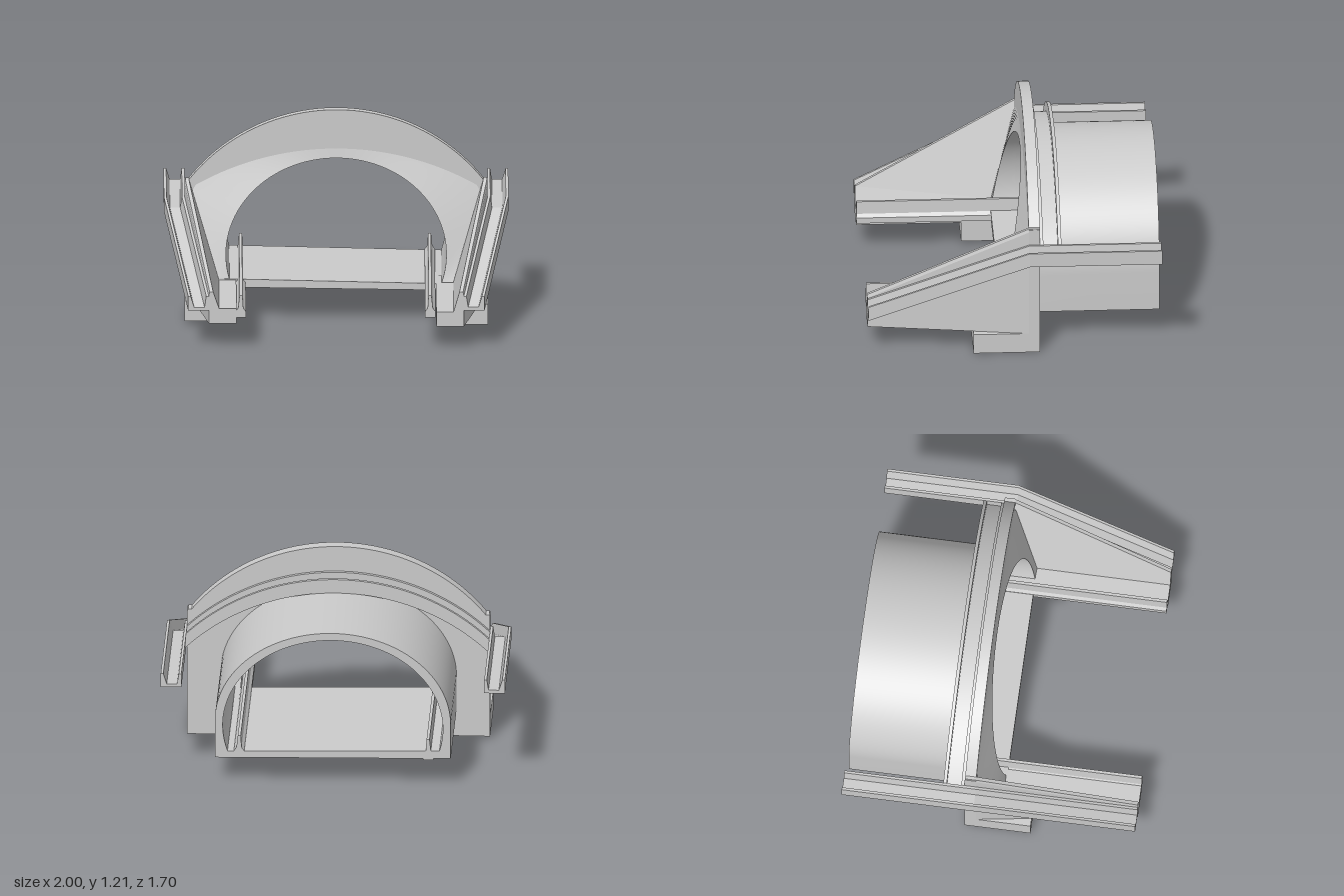
import * as THREE from 'three';
import { toCreasedNormals } from 'three/addons/utils/BufferGeometryUtils.js';

const material = new THREE.MeshStandardMaterial({ color: 0xcccccc });
const openMaterial = new THREE.MeshStandardMaterial({ color: 0xcccccc, side: THREE.DoubleSide });
const N = 64;
const CREASE = 0.5;

// Solid through matching cross-sections, counter-clockwise from the front, ordered front to back
function loft(sections) {
  const pos = [];
  const tri = (...pts) => pts.forEach((p) => pos.push(...p));
  const n = sections[0].length;
  for (let k = 0; k < sections.length - 1; k++) {
    const f = sections[k], b = sections[k + 1];
    for (let i = 0; i < n; i++) {
      const j = (i + 1) % n;
      tri(f[i], b[i], f[j]);
      tri(f[j], b[i], b[j]);
    }
  }
  const cap = (s, flip) => {
    const flat = s.map((p) => new THREE.Vector2(p[0], p[1]));
    for (const [a, b, c] of THREE.ShapeUtils.triangulateShape(flat, [])) {
      if (flip) tri(s[a], s[c], s[b]);
      else tri(s[a], s[b], s[c]);
    }
  };
  cap(sections[0], false);
  cap(sections[sections.length - 1], true);
  const geo = new THREE.BufferGeometry();
  geo.setAttribute('position', new THREE.Float32BufferAttribute(pos, 3));
  geo.computeVertexNormals();
  return geo;
}

// Section placed at z, shifted, mirrored to side s
function section(pts, z, s = 1, dx = 0, dy = 0) {
  const out = pts.map(([x, y]) => [s * (x + dx), y + dy, z]);
  return s < 0 ? out.reverse() : out;
}

function extrude(pts, z0, z1) {
  const shape = new THREE.Shape(pts.map(([x, y]) => new THREE.Vector2(x, y)));
  const geo = new THREE.ExtrudeGeometry(shape, { depth: z1 - z0, bevelEnabled: false });
  geo.translate(0, 0, z0);
  return toCreasedNormals(geo, CREASE);
}

// Height of a circular arc with its crown at (0, top) passing through (w, end)
function arcY(x, top, w, end) {
  const sag = top - end;
  const r = (w * w + sag * sag) / (2 * sag);
  return top - r + Math.sqrt(r * r - x * x);
}

const samples = (fn) => Array.from({ length: N + 1 }, (_, i) => fn(i / N));

// Opening curve, from right foot over the crown to the other foot
const DELTA = 0.295;
const angleAt = (u) => -DELTA + u * (Math.PI + 2 * DELTA);
const opening = (u) => [0.64 * Math.cos(angleAt(u)), 0.37 + 0.55 * Math.sin(angleAt(u))];

// Outer rim of the splayed mouth: straight along the wings, arched above
function mouthRim(u) {
  const a = angleAt(u), s = a <= Math.PI / 2 ? 1 : -1;
  const b = s > 0 ? a : Math.PI - a;
  const a0 = 0.55;
  if (b < a0) {
    const t = (b + DELTA) / (a0 + DELTA);
    return [s * (0.68 + 0.16 * t), 0.21 + 0.535 * t, 0.07 - 0.15 * t];
  }
  const x = 0.84 * (Math.PI / 2 - b) / (Math.PI / 2 - a0);
  return [s * x, arcY(x, 0.975, 0.84, 0.745), -0.08];
}

// Splayed face and the lining running back to the portal wall
function mouthGeometry() {
  const rows = [
    samples(mouthRim),
    samples((u) => { const [x, y] = opening(u); return [x, y, -0.08 + (0.965 - y) * 0.195]; }),
    samples((u) => [...opening(u), -0.145]),
  ];
  const index = [];
  for (let r = 0; r < 2; r++) {
    for (let i = 0; i < N; i++) {
      const a = r * (N + 1) + i, b = a + N + 1;
      index.push(a, a + 1, b, b, a + 1, b + 1);
    }
  }
  const geo = new THREE.BufferGeometry();
  geo.setAttribute('position', new THREE.Float32BufferAttribute(rows.flat(2), 3));
  geo.setIndex(index);
  return toCreasedNormals(geo, CREASE);
}

export function createModel() {
  const group = new THREE.Group();
  const add = (name, geo, mat = material) => {
    const mesh = new THREE.Mesh(geo, mat);
    mesh.name = name;
    group.add(mesh);
  };
  const inner = samples(opening);

  // Tunnel tube
  const vault = samples((u) => [-0.685 * Math.cos(Math.PI * u), 0.4 + 0.565 * Math.sin(Math.PI * u)]);
  add('tunnelTube', extrude(
    [[-0.685, 0.185], ...vault, [0.685, 0.165], [0.612, 0.166], ...inner, [-0.612, 0.184]], -0.85, -0.14));

  // Portal wall with arched top
  const crown = samples((u) => {
    const x = -0.855 + 1.71 * u;
    return [x, arcY(x, 1.205, 0.855, 0.79)];
  });
  add('portalWall', extrude(
    [[-0.88, 0.14], [-0.88, 0.785], ...crown, [0.88, 0.785], [0.88, 0.12], [0.612, 0.12], ...inner, [-0.612, 0.14]],
    -0.145, -0.08));
  add('splayedMouth', mouthGeometry(), openMaterial);

  // Arched drain channel behind the portal wall
  const band = (top, bottom) => {
    const edge = (o) => samples((u) => {
      const x = -0.88 + 1.76 * u;
      return [x, arcY(x, 1.05, 0.88, 0.69) + o];
    });
    return [...edge(top), ...edge(bottom).reverse()];
  };
  add('archDrainFrontLip', extrude(band(0, -0.085), -0.165, -0.145));
  add('archDrainFloor', extrude(band(-0.06, -0.085), -0.25, -0.165));
  add('archDrainBackLip', extrude(band(0, -0.085), -0.27, -0.25));

  // Slightly tilted floor
  const floor = [[-0.685, 0.185], [0.685, 0.165], [0.685, 0.203], [-0.685, 0.235]];
  add('floorSlab', loft([section(floor, 0.07), section(floor, -0.85)]));

  for (const s of [1, -1]) {
    const side = s > 0 ? 'left' : 'right';
    const lift = s > 0 ? 0 : 0.02;
    const base = 0.12 + lift, shelf = 0.207 + lift;

    // Foundation block
    const block = new THREE.BoxGeometry(0.3, 0.12, 0.385);
    block.translate(s * 0.73, 0.06 + lift, 0.0475);
    add(side + 'Foundation', block);

    // Wing wall with sloping crest, leaning outward
    const wing = (t, z) => {
      const crest = 0.325 + 0.465 * t;
      const outer = 0.74 + 0.14 * t;
      return section([
        [0.58, base], [outer, base], [outer, crest - 0.02], [outer - 0.005, crest],
        [0.68 + (crest - 0.21) * 0.3, crest], [0.68, shelf], [0.58, shelf],
      ], z, s);
    };
    add(side + 'WingWall', loft([wing(0, 0.85), wing(1, -0.08), wing(1, -0.145)]));

    // Drain channel: level behind, falling along the wing in front
    const drain = [
      [0.88, 0.605], [1, 0.605], [1, 0.69], [0.985, 0.69],
      [0.965, 0.625], [0.905, 0.625], [0.895, 0.69], [0.88, 0.69],
    ];
    add(side + 'Drain', loft([
      section(drain, 0.85, s, -0.14, -0.39), section(drain, -0.08, s), section(drain, -0.85, s)]));

    // Kerb along the floor edge
    const kerb = [
      [0.515, 0.175], [0.575, 0.175], [0.575, 0.21], [0.56, 0.23],
      [0.552, 0.305], [0.535, 0.305], [0.53, 0.23], [0.515, 0.21],
    ];
    const shift = s > 0 ? 0 : 0.01;
    add(side + 'Kerb', loft([section(kerb, 0.85, s, shift), section(kerb, -0.85, s, shift)]));
  }
  return group;
}
